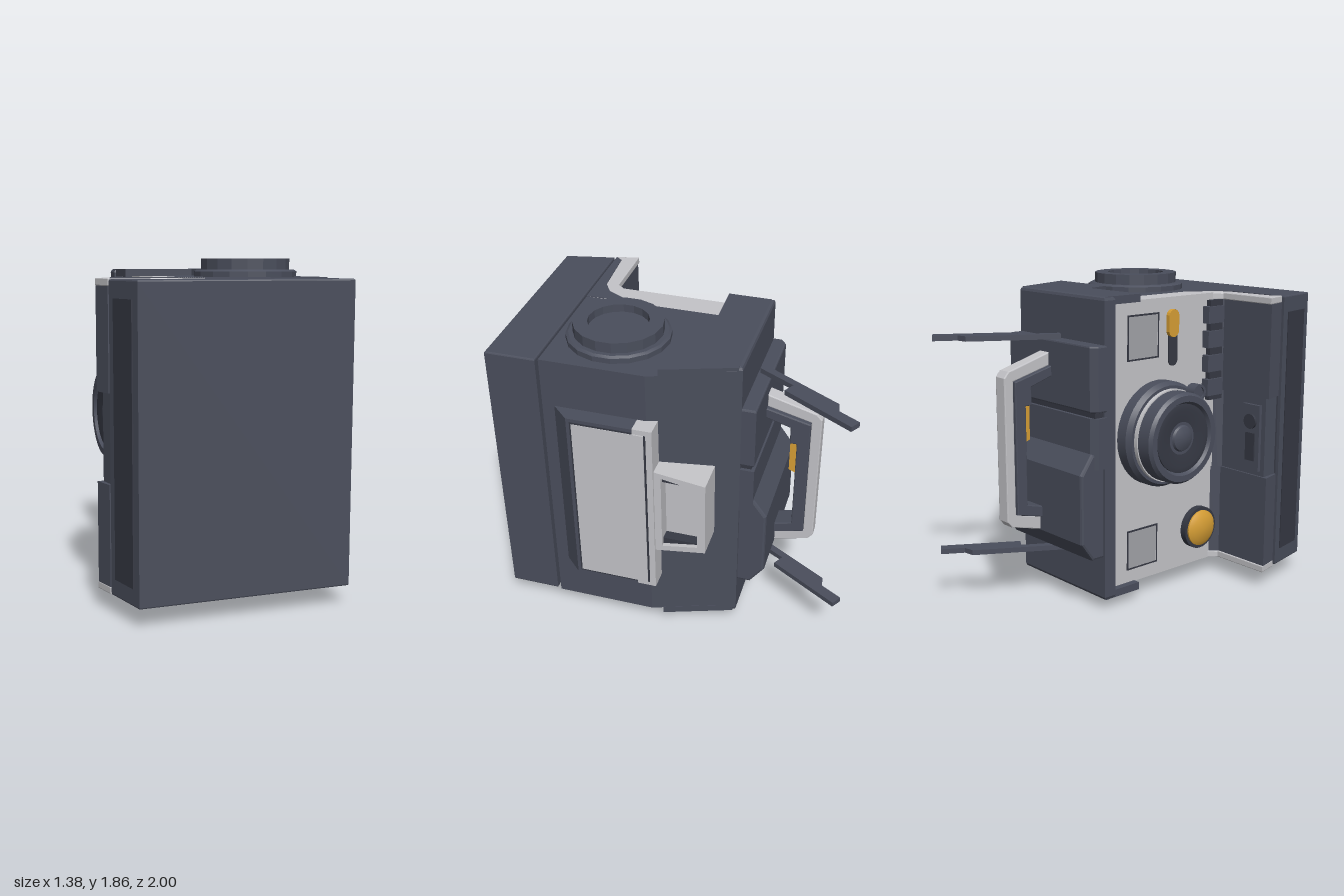
import * as THREE from 'three';
import { toCreasedNormals } from 'three/addons/utils/BufferGeometryUtils.js';

const mat = (name, color) => {
  const m = new THREE.MeshStandardMaterial({ color });
  m.name = name;
  return m;
};

export function createModel() {
  const root = new THREE.Group();
  const shell = mat('slate shell', 0x4a4e5c);
  const dark = mat('dark trim', 0x363944);
  const light = mat('light grey', 0xc4c4c8);
  const grey = mat('mid grey', 0xa2a3a8);
  const amber = mat('amber', 0xd79f35);

  const add = (name, geo, m) => {
    const mesh = new THREE.Mesh(geo, m);
    mesh.name = name;
    root.add(mesh);
    return mesh;
  };
  const box = (name, m, x0, x1, y0, y1, z0, z1) =>
    add(name, new THREE.BoxGeometry(x1 - x0, y1 - y0, z1 - z0)
      .translate((x0 + x1) / 2, (y0 + y1) / 2, (z0 + z1) / 2), m);
  const toShape = (pts) => new THREE.Shape(pts.map((p) => new THREE.Vector2(...p)));
  const extrude = (shape, depth, b) => new THREE.ExtrudeGeometry(shape, {
    depth: depth - 2 * b, bevelEnabled: b > 0, bevelSize: b, bevelThickness: b,
    bevelOffset: -b, bevelSegments: 2, curveSegments: 8,
  }).translate(0, 0, b);
  // outline in (x, z), raised from y0 to y1
  const plan = (name, m, pts, y0, y1, b = 0) =>
    add(name, extrude(toShape(pts.map(([x, z]) => [x, -z])), y1 - y0, b)
      .rotateX(-Math.PI / 2).translate(0, y0, 0), m);
  // outline in (z, y), pushed from x0 to x1, with an optional hole
  const side = (name, m, pts, x0, x1, b = 0, hole) => {
    const flip = (a) => a.map(([z, y]) => [-z, y]);
    const s = toShape(flip(pts));
    if (hole) s.holes.push(toShape(flip(hole)));
    return add(name, extrude(s, x1 - x0, b).rotateY(Math.PI / 2).translate(x0, 0, 0), m);
  };
  const rect = (z0, z1, y0, y1) => [[z0, y0], [z1, y0], [z1, y1], [z0, y1]];
  const pill = (z, r, y0, y1) => {
    const pts = [];
    for (let i = 0; i < 16; i++) {
      const a = (i + 0.5) / 16 * Math.PI * 2;
      pts.push([z + r * Math.cos(a), (Math.sin(a) > 0 ? y1 - r : y0 + r) + r * Math.sin(a)]);
    }
    return pts;
  };
  // turned part, pointing along -x from x, profile in (radius, height)
  const turned = (name, m, profile, x, y, z, seg = 40) =>
    add(name, toCreasedNormals(new THREE.LatheGeometry(
      profile.map((p) => new THREE.Vector2(...p)), seg), 0.5)
      .rotateZ(Math.PI / 2).translate(x, y, z), m);

  // main body and front block
  plan('body', shell, [[-0.13, -0.3], [0.455, -0.3], [0.59, 0.1], [0.59, 0.69], [-0.13, 0.69]], 0.1, 1.76);
  plan('frontBlock', shell, [[-0.66, 0.71], [0.59, 0.71], [0.59, 1], [-0.6, 1]], 0.105, 1.755, 0.008);
  plan('frontBlockSideInlay', dark, [[-0.655, 0.76], [-0.645, 0.76], [-0.605, 0.95], [-0.617, 0.95]], 0.2, 1.66);
  box('blockConnector', dark, -0.64, 0.55, 0.69, 1.17, 0.68, 0.72);

  // rear cover with top and bottom flaps
  plan('rearCover', shell, [[-0.33, -0.38], [0.43, -0.38], [0.458, -0.3], [-0.33, -0.3]], 0.06, 1.8, 0.02);
  const flap = [[-0.32, -0.36], [0.437, -0.36], [0.57, 0.035], [0.14, 0.035], [0.1, -0.12], [-0.32, -0.11]];
  plan('topFlap', shell, flap, 1.755, 1.8);
  plan('bottomFlap', shell, flap, 0.06, 0.105);

  // back plates and swollen lower housing
  const backPlate = (z) => [[-0.34, -0.37], [-0.34, z + 0.03], [-0.3, z], [0.43, z], [0.43, -0.37]];
  plan('backPlateUpper', shell, backPlate(-0.46), 1.17, 1.54, 0.01);
  plan('backPlateGroove', dark, [[-0.32, -0.37], [-0.32, -0.44], [0.41, -0.44], [0.41, -0.37]], 1.13, 1.18);
  plan('backPlateMiddle', shell, backPlate(-0.46), 0.85, 1.14);
  side('backHousing', shell, [[-0.37, 0.32], [-0.46, 0.32], [-0.54, 0.43], [-0.54, 0.83],
    [-0.46, 0.94], [-0.37, 0.94]], -0.32, 0.43, 0.015);

  // top and bottom dials
  const dialProfile = [[0, 0], [0.29, 0], [0.29, 0.03], [0.275, 0.04], [0.25, 0.04], [0.25, 0.1],
    [0.17, 0.1], [0.17, 0.055], [0, 0.055]].map((p) => new THREE.Vector2(...p));
  for (const top of [true, false]) {
    const d = add(top ? 'topDial' : 'bottomDial',
      toCreasedNormals(new THREE.LatheGeometry(dialProfile, 18), 0.3), shell);
    d.position.set(0.24, top ? 1.76 : 0.1, 0.36);
    if (!top) d.rotation.x = Math.PI;
  }

  // face plate, with corner flange
  box('facePlate', light, -0.28, -0.13, 0.1, 1.76, -0.3, 0.69);
  const flange = [[-0.27, 0.5], [-0.27, 0.69], [-0.66, 0.69], [-0.69, 0.56], [-0.32, 0.56]];
  const core = [[-0.27, 0.52], [-0.27, 0.69], [-0.645, 0.69], [-0.66, 0.58], [-0.32, 0.58]];
  plan('flangeCore', shell, core, 0.13, 1.73);
  for (const [y0, y1] of [[0.1, 0.14], [1.72, 1.76]]) plan('flangeRim', light, flange, y0, y1, 0.005);
  for (const [y0, y1] of [[0.14, 0.69], [1.17, 1.72]]) {
    plan('flangePanel', shell, flange.map(([x, z]) => [x, z + (z < 0.6 ? 0.008 : 0)]), y0, y1);
  }
  const cornerPatch = [[-0.65, 0.69], [-0.62, 0.65], [-0.3, 0.63], [-0.22, 0.58], [-0.14, 0.43], [-0.13, 0.69]];
  plan('cornerPatchTop', shell, cornerPatch, 1.758, 1.764);
  plan('cornerPatchBottom', shell, cornerPatch, 0.096, 0.102);
  // thumb pad in the flange recess
  box('thumbPad', shell, -0.63, -0.5, 0.72, 1.12, 0.56, 0.59);
  const thumb = add('thumbButton', new THREE.CylinderGeometry(0.045, 0.045, 0.02, 20)
    .rotateX(Math.PI / 2), dark);
  thumb.position.set(-0.565, 1.02, 0.555);
  box('thumbSlide', dark, -0.6, -0.53, 0.78, 0.95, 0.552, 0.57);

  // ribbed corner grip
  box('cornerGrip', dark, -0.315, -0.27, 1.12, 1.72, 0.46, 0.57);
  for (let i = 0; i < 4; i++) {
    const y = 1.2 + i * 0.145;
    box('gripRib', shell, -0.33, -0.27, y - 0.05, y + 0.05, 0.43, 0.56);
  }

  // framed inlays on the face plate
  for (const [y0, y1] of [[1.42, 1.68], [0.18, 0.42]]) {
    side('inlayFrame', dark, rect(-0.17, 0.07, y0, y1), -0.284, -0.279, 0,
      rect(-0.16, 0.06, y0 + 0.01, y1 - 0.01));
    side('inlay', grey, rect(-0.16, 0.06, y0 + 0.01, y1 - 0.01), -0.283, -0.279);
  }

  // slider switch
  side('sliderSlot', dark, pill(0.18, 0.035, 1.36, 1.69), -0.288, -0.279);
  side('sliderKnob', amber, pill(0.17, 0.04, 1.53, 1.69), -0.305, -0.28);

  // big round button
  turned('buttonCollar', dark, [[0, 0], [0.13, 0], [0.13, 0.04], [0, 0.04]], -0.28, 0.33, 0.4);
  turned('button', amber, [[0, 0], [0.11, 0], [0.11, 0.05], [0.08, 0.068], [0, 0.075]], -0.28, 0.33, 0.4);

  // lens
  const ly = 0.98, lz = 0.065;
  turned('lensBase', shell, [[0, 0], [0.31, 0], [0.31, 0.07], [0.29, 0.1], [0, 0.1]], -0.28, ly, lz);
  turned('lensRing', light, [[0, 0], [0.272, 0], [0.272, 0.03], [0, 0.03]], -0.375, ly, lz);
  turned('lensBarrel', shell, [[0, 0], [0.265, 0], [0.265, 0.09], [0.25, 0.11], [0.215, 0.11],
    [0.2, 0.085], [0, 0.085]], -0.4, ly, lz);
  turned('lensCone', dark, [[0, 0], [0.2, 0], [0.2, 0.015], [0.17, 0.02], [0.09, 0.004], [0, 0.004]],
    -0.48, ly, lz);
  turned('lensDome', shell, [[0, 0], [0.08, 0], [0.07, 0.018], [0.04, 0.03], [0, 0.034]], -0.48, ly, lz);
  turned('lensKnob', shell, [[0, 0], [0.05, 0], [0.05, 0.065], [0.035, 0.065], [0.035, 0.055], [0, 0.055]],
    -0.405, ly + 0.24, lz + 0.155, 20);

  // side screen with bevelled surround
  plan('screenSurround', shell, [[0.58, 0.15], [0.685, 0.15], [0.685, 0.52], [0.59, 0.62], [0.58, 0.62]], 0.38, 1.48);
  side('screenRecess', dark, rect(0.15, 0.5, 0.4, 1.46), 0.683, 0.687);
  side('screen', light, rect(0.085, 0.49, 0.41, 1.45), 0.683, 0.69);
  side('screenEdge', light, rect(0.04, 0.15, 0.38, 1.48), 0.5, 0.682);
  side('screenSeam', dark, rect(0.075, 0.085, 0.41, 1.45), 0.68, 0.688);

  // eyepiece
  const hood = [[0.04, 0.655], [-0.25, 0.7], [-0.25, 1.17], [0.04, 1.21]];
  const opening = [[0, 0.695], [-0.205, 0.73], [-0.205, 1.135], [0, 1.175]];
  side('eyepieceHood', light, hood, 0.44, 0.67, 0, opening);
  side('eyepieceFloor', light, opening, 0.5, 0.585);
  for (const s of [-1, 1]) {
    const yc = 0.935;
    side('eyepieceCheek', dark, s > 0
      ? [[0, yc + 0.2], [-0.205, yc + 0.195], [-0.205, yc + 0.2], [0, yc + 0.24]]
      : [[0, yc - 0.24], [-0.205, yc - 0.205], [-0.205, yc - 0.2], [0, yc - 0.2]], 0.58, 0.645);
  }

  // rear handle: light outer strap over a dark inner grip
  side('handleStrap', light, [[-0.46, 1.465], [-0.74, 1.385], [-0.77, 1.35], [-0.77, 0.52], [-0.74, 0.485],
    [-0.53, 0.43], [-0.53, 0.51], [-0.71, 0.555], [-0.71, 1.325], [-0.46, 1.39]], 0.06, 0.145, 0.006);
  side('handleGrip', shell, [[-0.44, 1.395], [-0.712, 1.325], [-0.712, 0.555], [-0.53, 0.51],
    [-0.53, 0.575], [-0.64, 0.605], [-0.64, 1.18], [-0.6, 1.18], [-0.6, 1.285], [-0.44, 1.335]], 0.04, 0.17, 0.006);
  side('handleTrigger', amber, [[-0.65, 0.96], [-0.6, 0.98], [-0.6, 1.18], [-0.65, 1.18]], 0.065, 0.145);

  // folding stand arms
  const arm = [[0.01, -0.41], [0.28, -0.87], [0.345, -0.88], [0.415, -1], [0.47, -0.965],
    [0.23, -0.565], [0.17, -0.6], [0.05, -0.39]];
  plan('upperArm', shell, arm, 1.54, 1.57);
  plan('lowerArm', shell, arm, 0.29, 0.32);

  return root;
}
